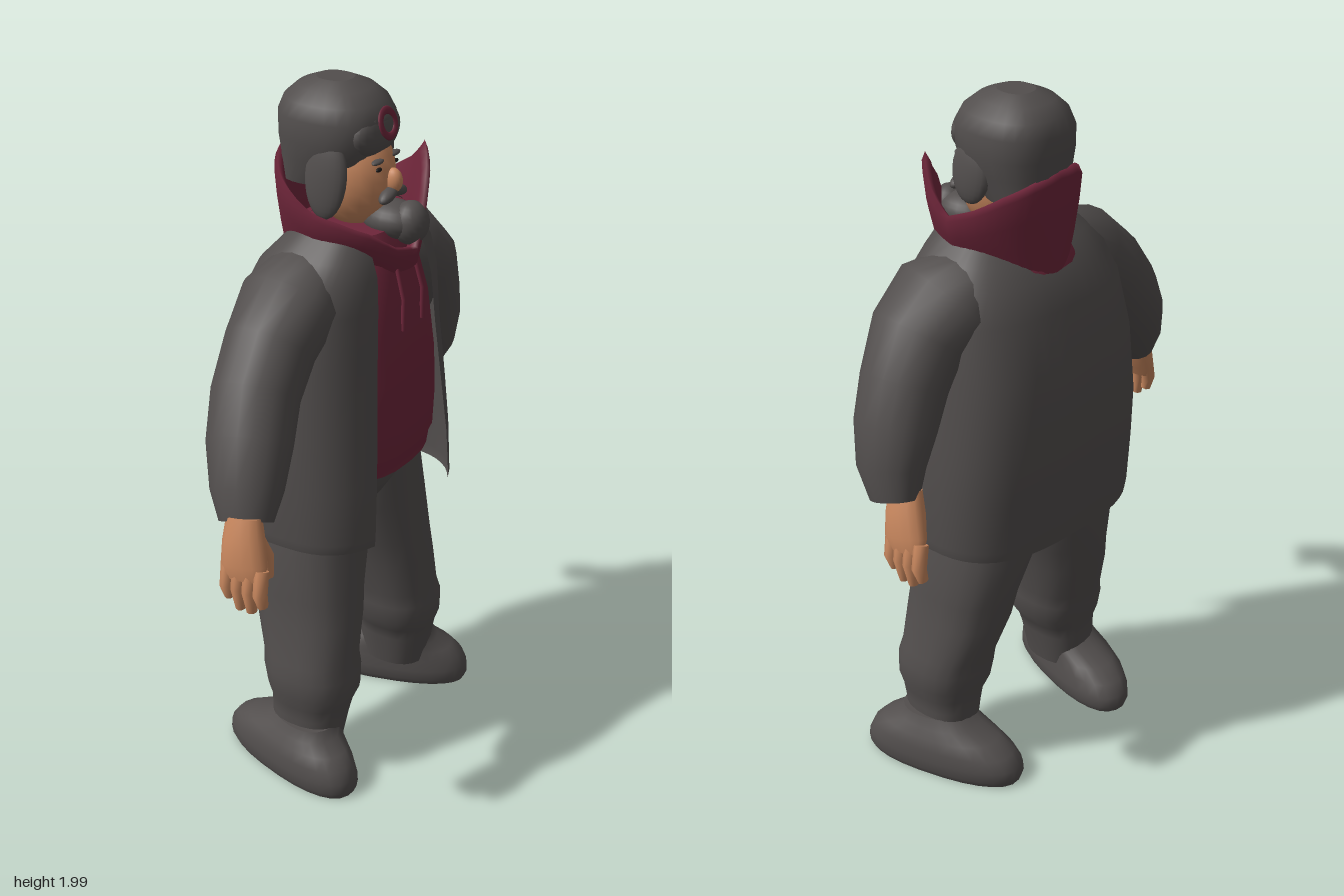
import * as THREE from 'three';

const mat = (name, color, side = THREE.FrontSide) => {
  const m = new THREE.MeshStandardMaterial({ color, side });
  m.name = name;
  return m;
};

// Grid surface from fn(i, j) -> Vector3; rows rise, columns run from +x towards +z
function surface(rows, cols, fn, closed = true, caps = true) {
  const pos = [], index = [];
  const n = closed ? cols : cols + 1;
  for (let i = 0; i <= rows; i++)
    for (let j = 0; j < n; j++) pos.push(...fn(i, j / cols).toArray());
  for (let i = 0; i < rows; i++)
    for (let j = 0; j < cols; j++) {
      const k = (j + 1) % n;
      const a = i * n + j, b = i * n + k;
      index.push(a, a + n, b, b, a + n, b + n);
    }
  if (closed && caps) {
    [0, rows].forEach((row) => {
      const c = new THREE.Vector3(), start = pos.length / 3;
      for (let j = 0; j < n; j++) {
        const p = fn(row, j / cols);
        c.addScaledVector(p, 1 / n);
        pos.push(...p.toArray());
      }
      pos.push(...c.toArray());
      for (let j = 0; j < n; j++) {
        const a = start + j, b = start + (j + 1) % n;
        index.push(start + n, ...(row ? [b, a] : [a, b]));
      }
    });
  }
  const g = new THREE.BufferGeometry();
  g.setAttribute('position', new THREE.Float32BufferAttribute(pos, 3));
  g.setIndex(index);
  g.computeVertexNormals();
  return g;
}

const soft = (v, p) => Math.sign(v) * Math.abs(v) ** p;

// Stacked horizontal rings: [y, centreX, centreZ, radiusX, radiusZ, front gap angle]
function stack(rings, { cols = 28, power = 0.85 } = {}) {
  return surface(rings.length - 1, cols, (i, u) => {
    const [y, cx, cz, rx, rz, gap = 0] = rings[i];
    const t = gap + u * (Math.PI * 2 - 2 * gap);
    return new THREE.Vector3(cx + rx * soft(Math.cos(t), power), y, cz + rz * soft(Math.sin(t), power));
  }, !rings[0][5]);
}

// Round limb along a path: [x, y, z, radiusX, radiusSide]
function limb(path, cols = 18) {
  const pts = path.map((p) => new THREE.Vector3(p[0], p[1], p[2]));
  return surface(path.length - 1, cols, (i, u) => {
    const t = pts[Math.min(i + 1, pts.length - 1)].clone().sub(pts[Math.max(i - 1, 0)]).normalize();
    const a = new THREE.Vector3(1, 0, 0).addScaledVector(t, -t.x).normalize();
    const b = a.clone().cross(t);
    return pts[i].clone()
      .addScaledVector(a, path[i][3] * Math.cos(u * Math.PI * 2))
      .addScaledVector(b, path[i][4] * Math.sin(u * Math.PI * 2));
  });
}

export function createModel() {
  const model = new THREE.Group();
  const grey = mat('charcoal cloth', 0x524e4d);
  const greyOpen = mat('charcoal jacket', 0x524e4d, THREE.DoubleSide);
  const red = mat('maroon cloth', 0x6e263a, THREE.DoubleSide);
  const skin = mat('skin', 0xc8875e);
  const dark = mat('dark eyes', 0x1c1918);
  const mid = -0.085;

  const add = (name, geo, material, parent = model) => {
    const m = new THREE.Mesh(geo, material);
    m.name = name;
    parent.add(m);
    return m;
  };
  const blob = (name, material, [x, y, z], [rx, ry, rz], parent = model) => {
    const m = add(name, new THREE.SphereGeometry(1, 20, 14), material, parent);
    m.position.set(x, y, z);
    m.scale.set(rx, ry, rz);
    return m;
  };

  // Legs with a baggy fold over the boots, and turned-out boots
  for (const s of [1, -1]) {
    const side = s > 0 ? 'left' : 'right';
    const leg = [
      [0.1, 0.05, 0.255, 0.1, 0.085], [0.2, 0.055, 0.247, 0.112, 0.092],
      [0.24, 0.058, 0.243, 0.117, 0.1], [0.28, 0.058, 0.236, 0.132, 0.118],
      [0.34, 0.052, 0.234, 0.138, 0.122], [0.38, 0.045, 0.228, 0.136, 0.116],
      [0.5, 0.025, 0.203, 0.155, 0.12], [0.58, 0.015, 0.19, 0.158, 0.124],
      [0.72, -0.005, 0.16, 0.17, 0.143], [0.92, -0.01, 0.12, 0.17, 0.14],
    ].map(([y, x, z, rx, rz]) => [y, x, mid + s * z, rx, rz]);
    add(side + 'Leg', stack(leg, { cols: 22 }), grey);

    const boot = add(side + 'Boot', stack([
      [0.01, 0, 0, 0.238, 0.09], [0.03, 0, 0, 0.246, 0.1], [0.06, 0, 0, 0.243, 0.1],
      [0.095, 0.005, 0, 0.222, 0.097], [0.125, 0.015, -s * 0.005, 0.18, 0.09],
      [0.15, 0.025, -s * 0.015, 0.125, 0.085], [0.18, 0.035, -s * 0.024, 0.1, 0.08],
    ], { cols: 26 }), grey);
    boot.position.set(0.015, 0, mid + s * 0.283);
    boot.rotation.y = -s * 0.28;
  }
  add('trouserSeat', stack([
    [0.765, -0.01, mid, 0.09, 0.04], [0.8, -0.01, mid, 0.13, 0.1], [0.86, -0.01, mid, 0.165, 0.2],
    [0.92, -0.005, mid, 0.178, 0.235], [1.02, 0, mid, 0.19, 0.235],
  ]), grey);

  // Hooded top
  add('sweatshirt', stack([
    [0.94, 0, mid, 0.226, 0.225], [0.98, 0, mid, 0.23, 0.235], [1.0, 0, mid, 0.238, 0.248],
    [1.1, 0, mid, 0.242, 0.25], [1.22, 0, mid, 0.238, 0.245], [1.4, 0.005, mid, 0.216, 0.215],
    [1.55, 0.015, mid, 0.175, 0.165], [1.62, 0.02, mid, 0.13, 0.12],
  ], { power: 0.75 }), red);
  for (const s of [1, -1])
    add('drawstring', limb([[0.224, 1.36, mid + s * 0.05, 0.007, 0.007], [0.222, 1.45, mid + s * 0.05, 0.006, 0.006],
      [0.19, 1.56, mid + s * 0.045, 0.006, 0.006]], 8), red);

  // Hood round the neck: rim height by direction, narrow at the base, rim rolling inward
  const rim = [1.58, 1.6, 1.65, 1.68, 1.7, 1.74, 1.77, 1.81, 1.82, 1.8, 1.77, 1.73, 1.7, 1.75, 1.82, 1.75];
  const roll = [[0, 0.95, 0.66], [0.35, 0.99, 0.84], [0.65, 1, 0.97], [0.92, 1.02, 1.02],
    [1, 0.97, 0.98], [0.9, 0.9, 0.9], [0.4, 0.8, 0.78]];
  add('hood', surface(roll.length - 1, 48, (i, u) => {
    const k = Math.floor(u * 16), f = u * 16 - k;
    const top = rim[k % 16] * (1 - f) + rim[(k + 1) % 16] * f;
    const [h, rx, rz] = roll[i], t = u * Math.PI * 2;
    return new THREE.Vector3(0.025 + 0.2 * rx * Math.cos(t), 1.52 + (top - 1.52) * h, mid - 0.01 + 0.205 * rz * Math.sin(t));
  }, true, false), red);

  // Open jacket, gap wider towards the hem, collar lower at the nape
  add('jacket', stack([
    [0.77, 0.01, mid, 0.248, 0.34, 0.51], [0.8, 0.01, mid, 0.252, 0.345, 0.51], [0.95, 0, mid, 0.254, 0.344, 0.47],
    [1.1, -0.012, mid, 0.251, 0.338, 0.42], [1.3, -0.016, mid, 0.236, 0.318, 0.38], [1.45, 0, mid, 0.208, 0.305, 0.35],
    [1.53, 0.012, mid, 0.182, 0.278, 0.34], [1.58, 0.025, mid, 0.15, 0.235, 0.4], [1.62, 0.035, mid, 0.125, 0.19, 0.55],
    [1.645, 0.04, mid, 0.1, 0.165, 0.8],
  ], { cols: 40, power: 0.72 }), greyOpen);

  // Sleeves
  add('leftSleeve', limb([
    [0, 1.54, 0.08, 0.1, 0.07], [0, 1.47, 0.17, 0.14, 0.12], [0, 1.38, 0.27, 0.125, 0.12],
    [0.01, 1.28, 0.355, 0.12, 0.115], [0.04, 1.18, 0.43, 0.117, 0.107],
    [0.07, 1.08, 0.49, 0.1, 0.088], [0.09, 1.01, 0.525, 0.075, 0.06],
  ]), grey);
  add('rightSleeve', limb([
    [0, 1.54, -0.24, 0.1, 0.07], [0.02, 1.48, -0.32, 0.155, 0.12], [0.035, 1.4, -0.4, 0.14, 0.12],
    [0.025, 1.29, -0.47, 0.122, 0.11], [0.01, 1.19, -0.52, 0.117, 0.1],
    [-0.005, 1.09, -0.555, 0.1, 0.08], [-0.03, 1.01, -0.57, 0.075, 0.055],
  ]), grey);

  // Hands: palm, four fingers and a thumb on the inner side
  const hand = (name, x, z, s, lean) => {
    const g = new THREE.Group();
    g.name = name;
    model.add(g);
    add('palm', limb([
      [x, 1.04, z, 0.05, 0.036], [x + lean * 0.2, 0.98, z + s * 0.015, 0.06, 0.044],
      [x + lean * 0.5, 0.92, z + s * 0.035, 0.068, 0.036], [x + lean * 0.6, 0.885, z + s * 0.04, 0.06, 0.026],
    ], 14), skin, g);
    for (let i = 0; i < 4; i++) {
      const fx = x + lean * 0.6 + (i - 1.5) * 0.034;
      const tip = 0.8 + (i === 0 || i === 3 ? 0.025 : 0);
      add('finger', limb([[fx, 0.92, z + s * 0.036, 0.019, 0.022], [fx + lean * 0.2, 0.86, z + s * 0.057, 0.019, 0.021],
        [fx + lean * 0.3, tip, z + s * 0.05, 0.014, 0.015]], 8), skin, g);
    }
    add('thumb', limb([[x + 0.03, 0.99, z, 0.024, 0.024], [x + 0.045, 0.92, z - s * 0.03, 0.022, 0.02],
      [x + 0.05, 0.86, z - s * 0.032, 0.014, 0.014]], 8), skin, g);
  };
  hand('leftHand', 0.1, 0.548, 1, 0.04);
  hand('rightHand', -0.05, -0.548, -1, -0.06);

  // Head and face
  const head = new THREE.Group();
  head.name = 'head';
  model.add(head);
  const hz = -0.1;
  blob('face', skin, [0.025, 1.75, hz], [0.12, 0.145, 0.1], head);
  blob('nose', skin, [0.148, 1.748, hz], [0.026, 0.034, 0.02], head);
  for (const s of [1, -1]) {
    blob('eye', dark, [0.128, 1.785, hz + s * 0.042], [0.006, 0.006, 0.013], head);
    blob('eyebrow', grey, [0.124, 1.806, hz + s * 0.042], [0.012, 0.007, 0.025], head);
    const half = blob('moustache', grey, [0.147, 1.715, hz + s * 0.025], [0.02, 0.016, 0.038], head);
    half.rotation.x = s * 0.35;
  }
  blob('beard', grey, [0.135, 1.632, hz - 0.02], [0.085, 0.052, 0.068], head);
  blob('beardTip', grey, [0.188, 1.63, hz - 0.025], [0.05, 0.06, 0.054], head);

  // Winter cap with a turned-up front, plain ring patch and ear flaps
  add('cap', stack([
    [1.73, -0.07, hz, 0.1, 0.11], [1.8, -0.035, hz, 0.135, 0.128], [1.85, -0.025, hz, 0.152, 0.138],
    [1.91, -0.025, hz, 0.154, 0.138], [1.95, -0.028, hz, 0.135, 0.122],
    [1.98, -0.03, hz, 0.1, 0.09], [2.0, -0.03, hz, 0.05, 0.045],
  ]), grey, head);
  blob('capFront', grey, [0.09, 1.875, hz], [0.045, 0.068, 0.105], head);
  const patch = add('capPatch', new THREE.TorusGeometry(0.034, 0.011, 8, 28), red, head);
  patch.position.set(0.129, 1.9, hz);
  patch.rotation.set(0, Math.PI / 2, 0.3, 'ZYX');
  patch.scale.z = 0.45;
  for (const s of [1, -1])
    blob('earFlap', grey, [0.015, s > 0 ? 1.77 : 1.8, hz + s * 0.12], [0.062, s > 0 ? 0.115 : 0.085, 0.025], head).rotation.x = -s * 0.12;

  return model;
}
